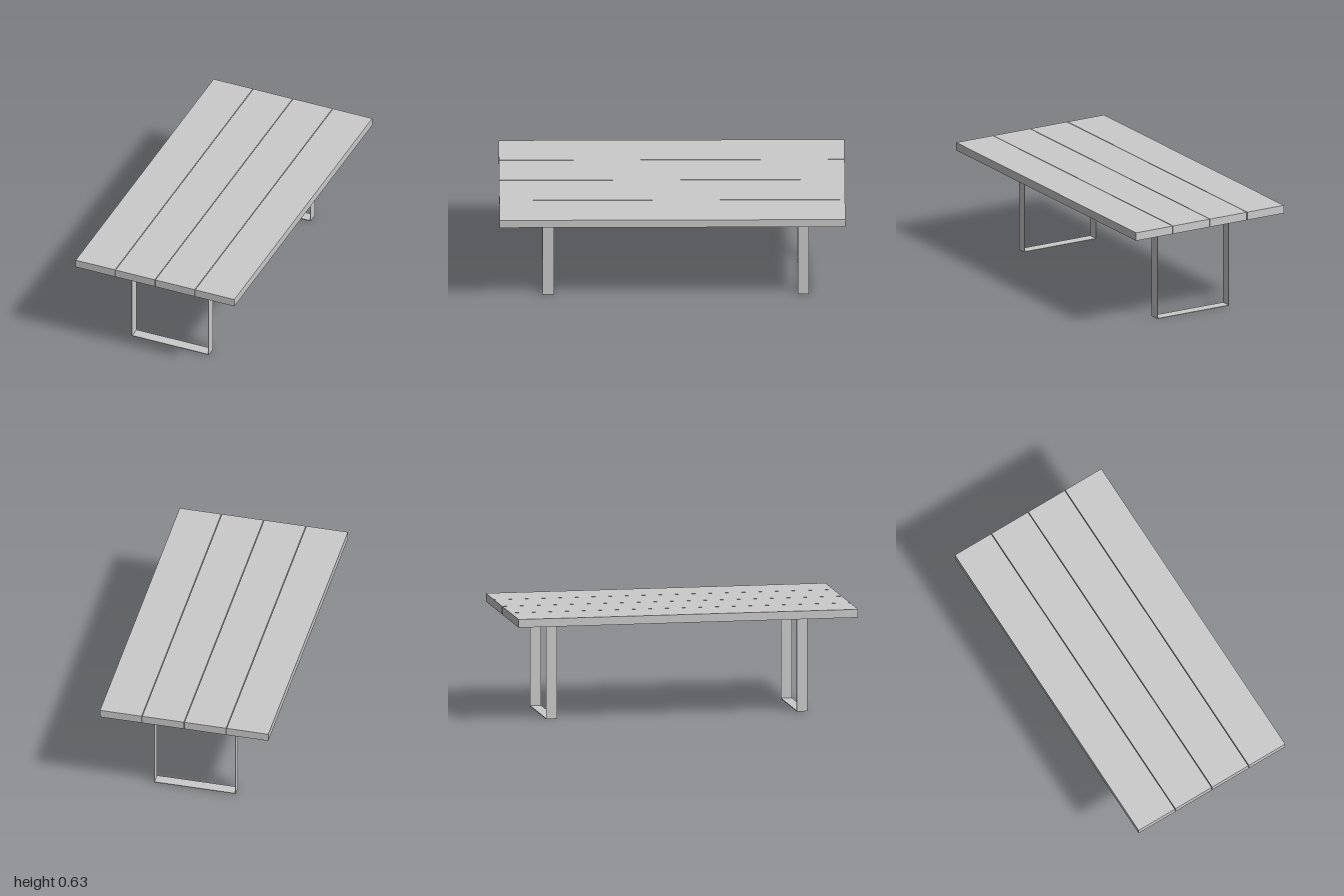
import * as THREE from 'three';

export function createModel() {
  const group = new THREE.Group();
  group.name = 'table';
  const material = new THREE.MeshStandardMaterial({ color: 0xcccccc });

  // Table top: four long planks with narrow gaps
  const planks = 4, gap = 0.004, bottom = 0.578, top = 0.626;
  const width = (1 - gap * (planks - 1)) / planks;
  for (let i = 0; i < planks; i++) {
    const plank = new THREE.Mesh(new THREE.BoxGeometry(width, top - bottom, 2), material);
    plank.name = `plank${i + 1}`;
    plank.position.set(-0.5 + width / 2 + i * (width + gap), (top + bottom) / 2, 0);
    group.add(plank);
  }

  // Leg frames: thin flat bars bent into rectangular loops
  const x0 = -0.257, x1 = 0.229, t = 0.004, depth = 0.064;
  const rect = (path, a, b, c, d) =>
    path.moveTo(a, b).lineTo(c, b).lineTo(c, d).lineTo(a, d).closePath();
  const outline = rect(new THREE.Shape(), x0, 0, x1, bottom);
  outline.holes.push(rect(new THREE.Path(), x0 + t, t, x1 - t, bottom - t));
  const frame = new THREE.ExtrudeGeometry(outline, { depth, bevelEnabled: false });
  frame.translate(0, 0, -depth / 2);

  for (const [name, z] of [['frontLegFrame', 0.717], ['backLegFrame', -0.76]]) {
    const leg = new THREE.Mesh(frame, material);
    leg.name = name;
    leg.position.z = z;
    group.add(leg);
  }
  return group;
}
